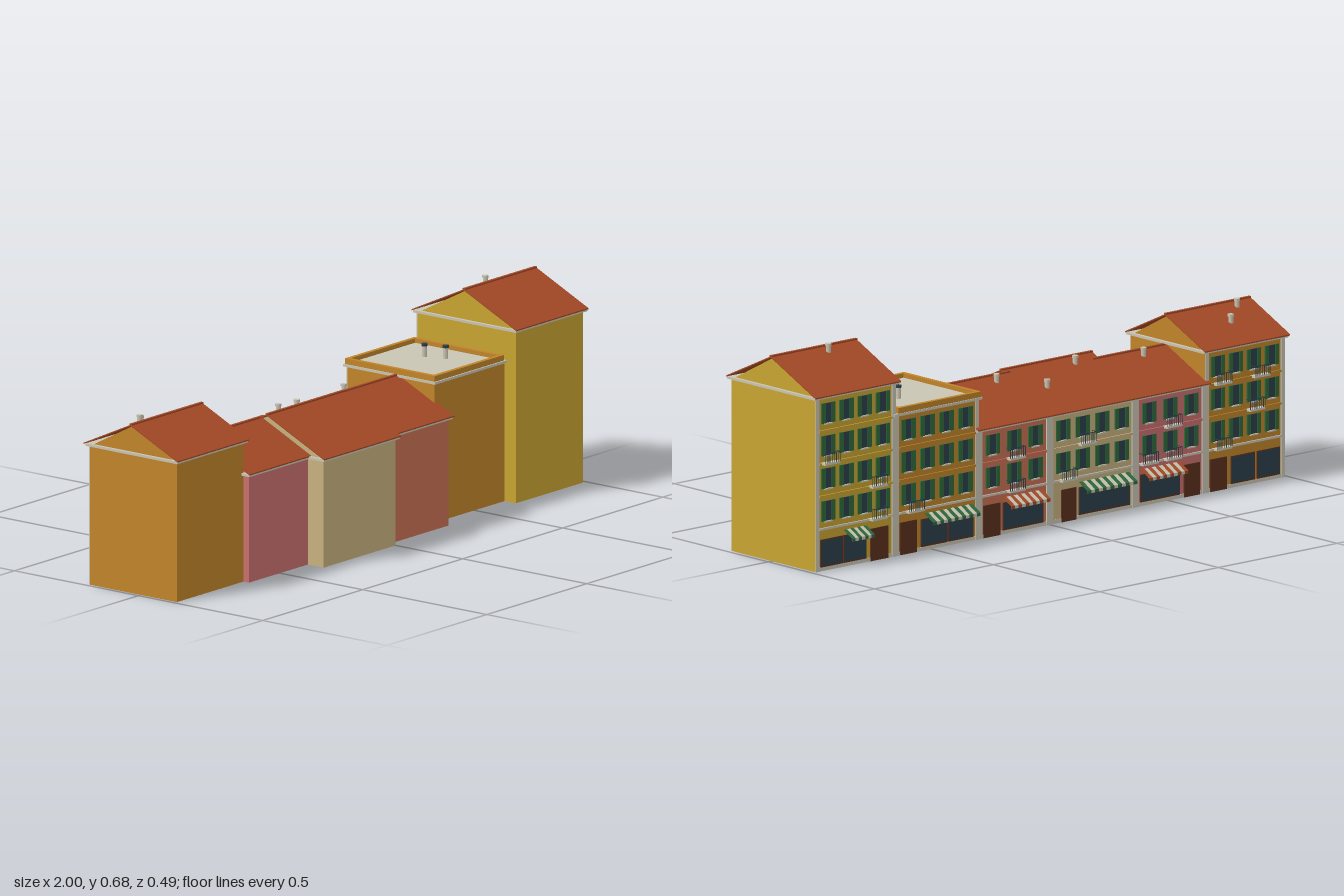
import * as THREE from 'three';

const BACK = -0.205, GROUND = 0.135, FLOOR = 0.105, SLOPE = 0.466;

const COLOURS = {
  ochre: 0xc0842a, pink: 0xc9706e, cream: 0xc8b27e, coral: 0xc87055, yellow: 0xc8a432,
  tile: 0xa54a26, stone: 0xc9c5b4, slate: 0x2b3f49, shutterGreen: 0x2f6a3c, doorBrown: 0x5a2f1c,
};

// x0..x1 footprint, front = front wall z, floors above the shop,
// doors / shops / awning are x spans, balconies are [floor, x], pots are [x, z]
const HOUSES = [
  { name: 'westHouse', wall: 'ochre', x0: -0.988, x1: -0.655, front: 0.145, floors: 3, windows: 4,
    doors: [[-0.745, -0.675]], shops: [[-0.86, -0.765], [-0.965, -0.875]],
    balconies: [[2, -0.72], [2, -0.88], [1, -0.86], [0, -0.72]], pots: [[-0.92, -0.06], [-0.84, -0.12]] },
  { name: 'pinkHouse', wall: 'pink', x0: -0.655, x1: -0.36, front: 0.167, floors: 2, windows: 3,
    doors: [[-0.63, -0.565]], shops: [[-0.545, -0.385]], awning: [-0.55, -0.385, 'tile'],
    balconies: [[1, -0.51], [0, -0.41], [0, -0.51]], pots: [[-0.535, -0.05]] },
  { name: 'creamHouse', wall: 'cream', x0: -0.36, x1: 0, front: 0.23, floors: 2, windows: 4,
    doors: [[-0.11, -0.05]], shops: [[-0.335, -0.125]], awning: [-0.335, -0.125, 'shutterGreen'],
    balconies: [[1, -0.15], [0, -0.07]], pots: [[-0.27, -0.025], [-0.085, -0.1]] },
  { name: 'coralHouse', wall: 'coral', x0: 0, x1: 0.3, front: 0.202, floors: 2, windows: 3,
    doors: [[0.21, 0.28]], shops: [[0.03, 0.195]], awning: [0.03, 0.195, 'tile'],
    balconies: [[1, 0.15], [0, 0.15]], pots: [[0.07, -0.035]] },
  { name: 'flatRoofHouse', wall: 'ochre', x0: 0.3, x1: 0.65, front: 0.145, floors: 3, windows: 4, flat: true,
    doors: [[0.56, 0.63]], shops: [[0.325, 0.425], [0.435, 0.54]], awning: [0.325, 0.525, 'shutterGreen'],
    balconies: [[0, 0.575]], pots: [[0.51, -0.065], [0.535, 0]] },
  { name: 'eastHouse', wall: 'yellow', x0: 0.65, x1: 0.985, front: 0.19, floors: 4, windows: 4,
    doors: [[0.68, 0.755]], shops: [[0.775, 0.865], [0.875, 0.962]], awning: [0.77, 0.865, 'shutterGreen'],
    balconies: [[2, 0.93], [1, 0.73], [0, 0.73]], pots: [[0.78, -0.037]] },
];

export function createModel() {
  const model = new THREE.Group();
  model.name = 'townhouseRow';
  const mats = {};
  for (const [name, color] of Object.entries(COLOURS)) {
    mats[name] = new THREE.MeshStandardMaterial({ color });
    mats[name].name = name;
  }

  const add = (parent, name, geometry, mat) => {
    const mesh = new THREE.Mesh(geometry, mats[mat]);
    mesh.name = name;
    parent.add(mesh);
    return mesh;
  };
  // Box given by its minimum and maximum corners
  const block = (parent, name, mat, x0, x1, y0, y1, z0, z1) => {
    const mesh = add(parent, name, new THREE.BoxGeometry(x1 - x0, y1 - y0, z1 - z0), mat);
    mesh.position.set((x0 + x1) / 2, (y0 + y1) / 2, (z0 + z1) / 2);
    return mesh;
  };
  // Plate on the street facade, standing out by depth
  const plate = (parent, name, mat, x0, x1, y0, y1, depth) =>
    block(parent, name, mat, x0, x1, y0, y1, BACK - depth, BACK);
  // Profile of [z, y] points extruded along x
  const prism = (parent, name, mat, points, x0, x1) => {
    const shape = new THREE.Shape(points.map(([z, y]) => new THREE.Vector2(-z, y)));
    const geometry = new THREE.ExtrudeGeometry(shape, { depth: x1 - x0, bevelEnabled: false });
    geometry.rotateY(Math.PI / 2).translate(x0, 0, 0);
    return add(parent, name, geometry, mat);
  };

  function addWindow(parent, x, y) {
    const g = new THREE.Group();
    g.name = 'window';
    parent.add(g);
    plate(g, 'windowGlass', 'slate', x - 0.013, x + 0.013, y + 0.025, y + 0.088, 0.002);
    for (const s of [-1, 1]) {
      const c = x + s * 0.021;
      plate(g, 'shutter', 'shutterGreen', c - 0.008, c + 0.008, y + 0.024, y + 0.089, 0.004);
    }
    plate(g, 'windowSill', 'stone', x - 0.016, x + 0.016, y + 0.02, y + 0.024, 0.006);
  }

  function addBalcony(parent, x, y) {
    const g = new THREE.Group();
    g.name = 'balcony';
    parent.add(g);
    const a = x - 0.032, b = x + 0.032, z = -0.226, t = 0.0015;
    block(g, 'balconySlab', 'stone', a, b, y - 0.003, y + 0.004, z, BACK);
    block(g, 'frontRail', 'slate', a, b, y + 0.034, y + 0.036, z, z + t);
    for (const s of [a, b - t]) block(g, 'sideRail', 'slate', s, s + t, y + 0.034, y + 0.036, z, BACK);
    for (let i = 0; i <= 8; i++) {
      const bx = a + (b - a - t) * i / 8;
      block(g, 'railBar', 'slate', bx, bx + t, y + 0.004, y + 0.034, z, z + t);
    }
  }

  // Sloping striped canopy with a short hanging edge
  function addAwning(parent, x0, x1, colour) {
    const g = new THREE.Group();
    g.name = 'awning';
    parent.add(g);
    const n = 2 * Math.round((x1 - x0) / 0.036) + 1, w = (x1 - x0) / n;
    for (let i = 0; i < n; i++) {
      const profile = [[BACK, 0.118], [-0.245, 0.096], [-0.245, 0.086], [-0.2435, 0.086], [-0.2435, 0.095], [BACK, 0.1165]];
      prism(g, 'awningStripe', i % 2 ? 'stone' : colour, profile, x0 + i * w, x0 + (i + 1) * w);
    }
  }

  function addPitchedRoof(g, h, top) {
    const mid = (h.front + BACK) / 2 - 0.002, half = (h.front - BACK) / 2 + 0.014;
    const y = top + 0.006, ridge = y + half * SLOPE, x0 = h.x0 - 0.012, x1 = h.x1 + 0.013;
    // Gable walls under the slopes
    prism(g, 'gable', h.wall, [[mid + half - 0.032, top + 0.008], [mid, ridge - 0.002], [mid - half + 0.032, top + 0.008]], h.x0, h.x1);
    for (const s of [-1, 1]) {
      const e = mid + s * half;
      prism(g, 'roofSlope', 'tile', [[mid, ridge], [mid, ridge + 0.004], [e, y + 0.004], [e, y]], x0, x1);
    }
    block(g, 'ridgeCap', 'tile', x0, x1, ridge, ridge + 0.007, mid - 0.005, mid + 0.005);
    return z => ridge - Math.abs(z - mid) * SLOPE;
  }

  function addFlatRoof(g, h, top) {
    const y = top + 0.008, p = top + 0.026, t = 0.014;
    const x0 = h.x0 - 0.006, x1 = h.x1 - 0.008, z0 = BACK - 0.007, z1 = h.front + 0.005;
    block(g, 'flatRoof', 'stone', x0 + t, x1 - t, y - 0.004, y + 0.004, z0 + t, z1 - t);
    for (const [a, b] of [[z0, z0 + t], [z1 - t, z1]]) block(g, 'parapet', h.wall, x0, x1, y, p, a, b);
    for (const [a, b] of [[x0, x0 + t], [x1 - t, x1]]) block(g, 'parapet', h.wall, a, b, y, p, z0 + t, z1 - t);
    return () => y;
  }

  for (const h of HOUSES) {
    const g = new THREE.Group();
    g.name = h.name;
    model.add(g);
    const top = GROUND + h.floors * FLOOR;
    block(g, 'walls', h.wall, h.x0, h.x1, 0, top, BACK, h.front);
    block(g, 'cornice', 'stone', h.x0 - 0.01, h.x1 + 0.01, top, top + 0.008, BACK - 0.01, h.front + 0.01);

    // Stone pilasters, plinth and floor bands
    plate(g, 'pilaster', 'stone', h.x0, h.x0 + 0.014, 0, top, 0.004);
    plate(g, 'pilaster', 'stone', h.x1 - 0.014, h.x1, 0, top, 0.004);
    plate(g, 'plinth', 'stone', h.x0, h.x1, 0, 0.012, 0.002);
    for (let f = 0; f < h.floors; f++) {
      const y = GROUND + f * FLOOR;
      plate(g, 'floorBand', f ? h.wall : 'stone', h.x0 + 0.014, h.x1 - 0.014, y - 0.004, y + 0.003, 0.005);
      const pitch = (h.x1 - h.x0 - 0.03) / h.windows;
      for (let i = 0; i < h.windows; i++) addWindow(g, h.x0 + 0.015 + (i + 0.5) * pitch, y);
    }

    // Shop fronts and doors
    for (const [a, b] of h.shops) {
      plate(g, 'shopFrame', 'doorBrown', a - 0.003, b + 0.003, 0.012, 0.101, 0.003);
      plate(g, 'shopGlass', 'slate', a, b, 0.017, 0.098, 0.004);
    }
    for (const [a, b] of h.doors) plate(g, 'door', 'doorBrown', a, b, 0, 0.104, 0.004);
    if (h.awning) addAwning(g, ...h.awning);
    for (const [f, x] of h.balconies) addBalcony(g, x, GROUND + f * FLOOR);

    // Roof and chimney pots
    const roofY = (h.flat ? addFlatRoof : addPitchedRoof)(g, h, top);
    for (const [x, z] of h.pots) {
      const y = roofY(z), height = h.flat ? 0.045 : 0.028;
      add(g, 'chimneyPot', new THREE.CylinderGeometry(0.008, 0.008, height, 10), 'stone').position.set(x, y + height / 2 - 0.004, z);
      add(g, 'chimneyCap', new THREE.CylinderGeometry(0.01, 0.01, 0.008, 10), h.flat ? 'slate' : 'stone').position.set(x, y + height - 0.002, z);
    }
  }
  return model;
}
